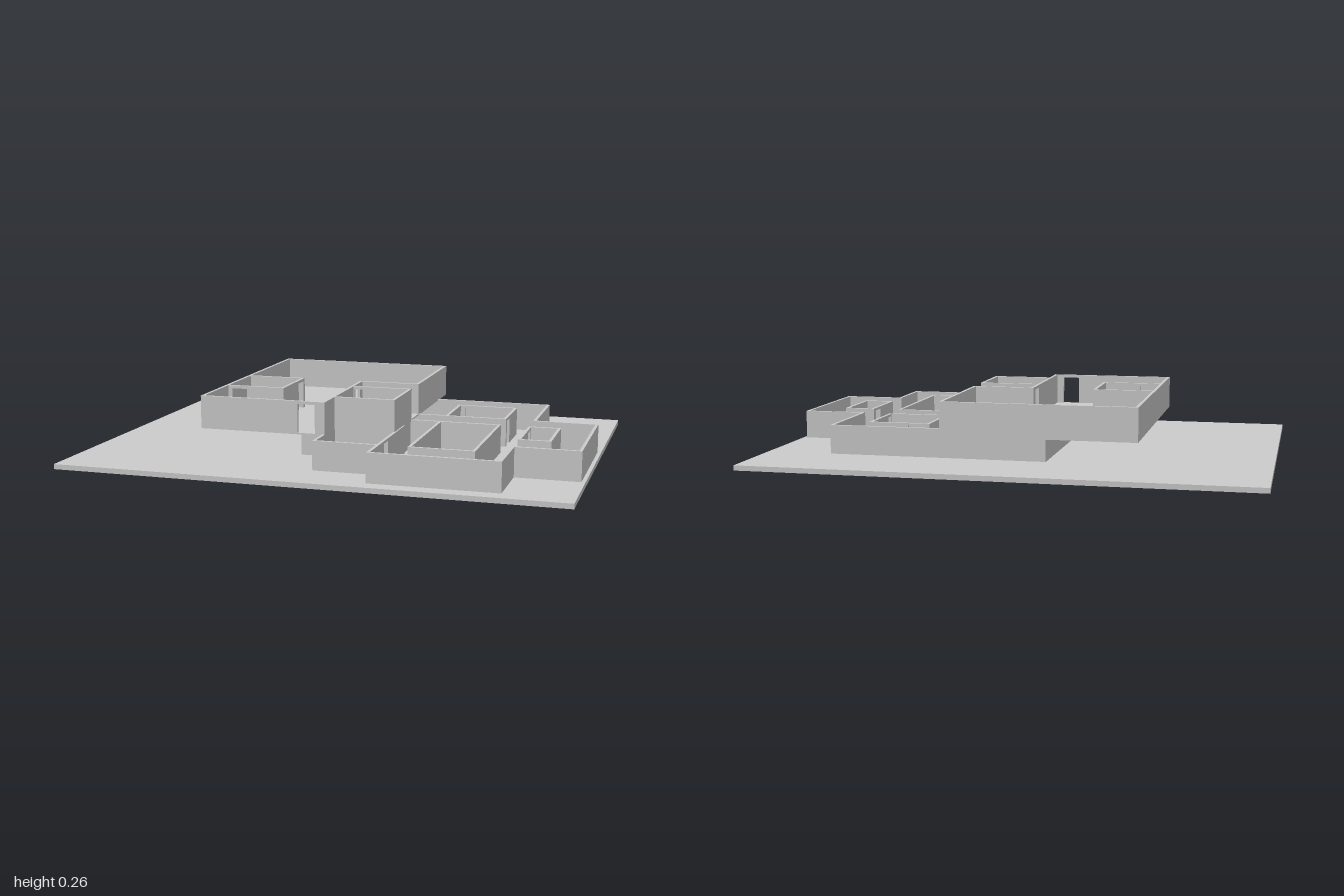
import * as THREE from 'three';

const T = 0.012; // wall thickness
const LEVELS = {
  lower: { y: 0.02, h: 0.115 },
  upper: { y: 0.135, h: 0.126 },
};
const DOOR_HEIGHT = 0.114;

export function createModel() {
  const model = new THREE.Group();
  const material = new THREE.MeshStandardMaterial({ color: 0xcccccc, flatShading: true });

  // Box given by its low and high corners
  function block(parent, name, x0, y0, z0, x1, y1, z1) {
    const mesh = new THREE.Mesh(new THREE.BoxGeometry(x1 - x0, y1 - y0, z1 - z0), material);
    mesh.position.set((x0 + x1) / 2, (y0 + y1) / 2, (z0 + z1) / 2);
    mesh.name = name;
    parent.add(mesh);
  }

  // Straight wall at a fixed x or z, running from a to b, with an optional doorway
  function wall(parent, level, axis, fixed, a, b, door) {
    const { y, h } = LEVELS[level];
    const piece = (name, s, e, y0, y1) => {
      if (axis === 'x') block(parent, name, s, y0, fixed - T / 2, e, y1, fixed + T / 2);
      else block(parent, name, fixed - T / 2, y0, s, fixed + T / 2, y1, e);
    };
    const start = a - T / 2, end = b + T / 2;
    if (!door) return piece('wall', start, end, y, y + h);
    const head = y + Math.min(DOOR_HEIGHT, h - 0.01);
    piece('wall', start, door[0], y, y + h);
    piece('wall', door[1], end, y, y + h);
    piece('doorHeader', door[0], door[1], head, y + h);
  }

  function storey(name, level, walls) {
    const group = new THREE.Group();
    group.name = name;
    for (const w of walls) wall(group, level, ...w);
    model.add(group);
  }

  // Ground plate
  block(model, 'groundPlate', -1, 0, -0.75, 1, 0.02, 0.75);

  // Lower storey: axis along which the wall runs, fixed coordinate, start, end, doorway
  storey('lowerWalls', 'lower', [
    // outer walls
    ['x', -0.42, -0.133, 0.73],
    ['z', 0.73, -0.42, -0.062],
    ['x', -0.062, 0.73, 0.979],
    ['z', 0.979, -0.062, 0.436],
    ['x', 0.436, 0.73, 0.979],
    ['z', 0.73, 0.436, 0.681],
    ['x', 0.681, 0.244, 0.73],
    ['z', 0.244, 0.19, 0.681, [0.43, 0.49]],
    ['x', 0.55, -0.006, 0.238],
    ['z', -0.006, 0.31, 0.55],
    ['x', 0.31, -0.133, 0.238],
    ['z', -0.133, -0.42, 0.31],
    // back inner room
    ['x', -0.308, 0.365, 0.607, [0.39, 0.45]],
    ['z', 0.365, -0.308, -0.066],
    ['z', 0.607, -0.308, -0.066, [-0.14, -0.08]],
    // hallway walls
    ['x', -0.066, -0.006, 0.607],
    ['x', 0.06, -0.006, 0.607],
    ['z', 0.238, 0.06, 0.19],
    // front inner room
    ['z', 0.365, 0.06, 0.55],
    ['z', 0.607, 0.06, 0.55],
    ['x', 0.55, 0.365, 0.607],
    // small side room
    ['x', 0.06, 0.73, 0.847],
    ['x', 0.304, 0.73, 0.847],
    ['z', 0.73, 0.06, 0.304, [0.08, 0.14]],
    ['z', 0.847, 0.06, 0.304],
  ]);

  // Upper floor slab, covering the main hall, passage and side room
  const outline = [[-0.514, -0.566], [0.244, -0.566], [0.244, 0.316], [0, 0.316], [0, 0.442], [-0.514, 0.442]];
  const shape = new THREE.Shape(outline.map(([x, z]) => new THREE.Vector2(x, -z)));
  const slabGeometry = new THREE.ExtrudeGeometry(shape, { depth: 0.006, bevelEnabled: false });
  slabGeometry.rotateX(-Math.PI / 2);
  const slab = new THREE.Mesh(slabGeometry, material);
  slab.position.y = 0.13;
  slab.name = 'upperFloor';
  model.add(slab);

  storey('upperWalls', 'upper', [
    // outer walls
    ['x', -0.56, -0.508, 0.238],
    ['z', 0.238, -0.56, -0.066],
    ['x', -0.066, -0.006, 0.238],
    ['z', -0.006, -0.066, 0.436, [-0.03, 0.035]],
    ['x', 0.436, -0.508, -0.006, [-0.11, -0.04]],
    ['z', -0.508, -0.56, 0.436],
    // corner room inside the hall
    ['x', -0.066, -0.508, -0.266],
    ['z', -0.266, -0.066, 0.183, [-0.055, 0.005]],
    ['x', 0.183, -0.508, -0.266, [-0.485, -0.42]],
    // side room
    ['x', 0.06, -0.006, 0.238, [0.005, 0.065]],
    ['z', 0.238, 0.06, 0.31],
    ['x', 0.31, -0.006, 0.238],
  ]);

  return model;
}
